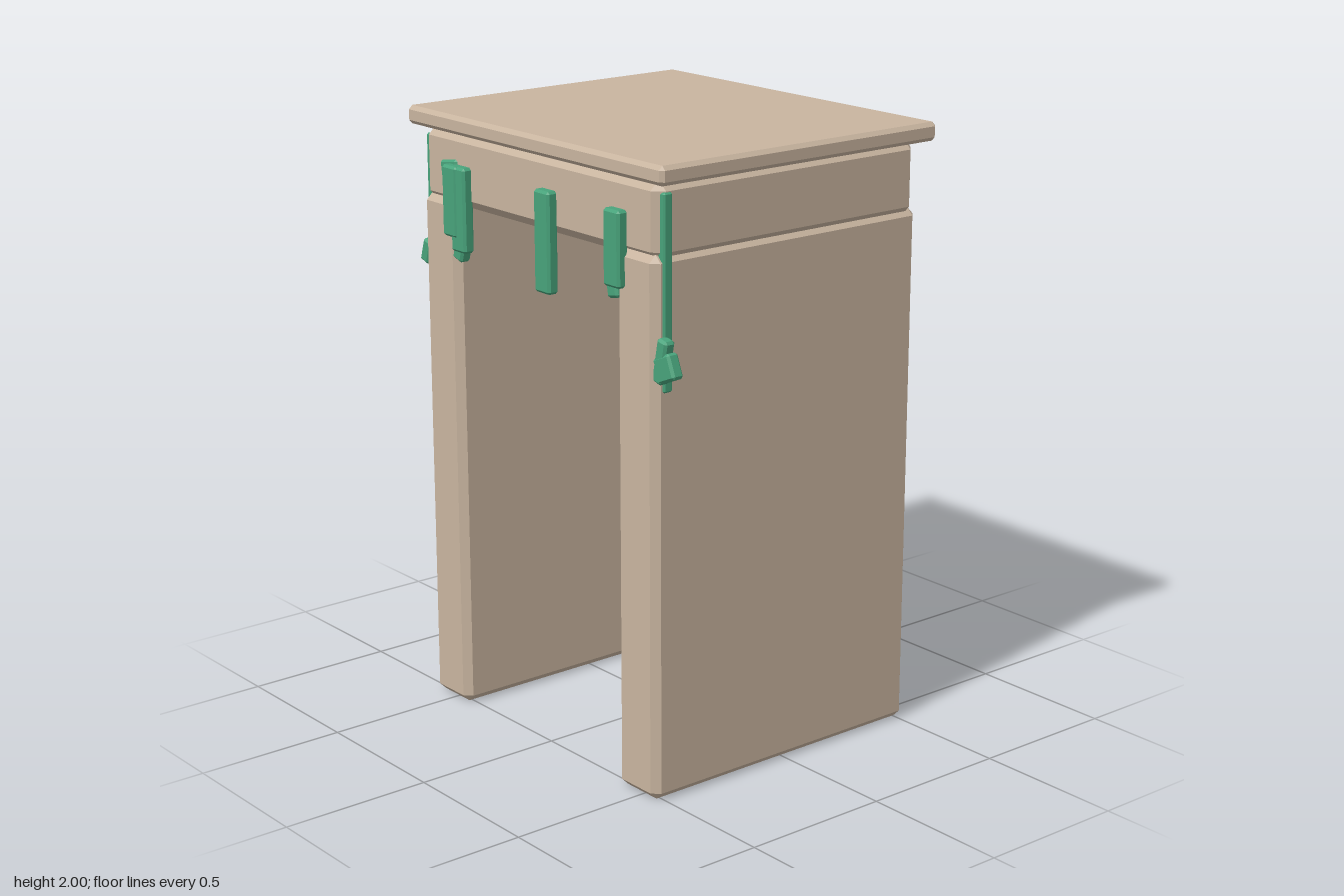
import * as THREE from 'three';
import { ConvexGeometry } from 'three/addons/geometries/ConvexGeometry.js';

const stone = new THREE.MeshStandardMaterial({ color: 0xc8b49f });
stone.name = 'tan stone';
const leaf = new THREE.MeshStandardMaterial({ color: 0x48a37b });
leaf.name = 'vine green';

// Box with chamfered edges, centred on its origin
function chamferBox(w, h, d, c) {
  const half = [w / 2, h / 2, d / 2];
  const points = [];
  for (const sx of [-1, 1]) for (const sy of [-1, 1]) for (const sz of [-1, 1]) {
    for (let axis = 0; axis < 3; axis++) {
      const p = half.map((v, i) => (i === axis ? v : v - c));
      points.push(new THREE.Vector3(sx * p[0], sy * p[1], sz * p[2]));
    }
  }
  return new ConvexGeometry(points);
}

export function createModel() {
  const model = new THREE.Group();
  model.name = 'stoneArch';

  // Adds a block given its extents on each axis, optionally rolled about z
  function block(name, material, [x0, x1], [y0, y1], [z0, z1], chamfer, roll = 0) {
    const mesh = new THREE.Mesh(chamferBox(x1 - x0, y1 - y0, z1 - z0, chamfer), material);
    mesh.name = name;
    mesh.position.set((x0 + x1) / 2, (y0 + y1) / 2, (z0 + z1) / 2);
    mesh.rotation.z = roll;
    model.add(mesh);
  }

  // Stonework
  block('capSlab', stone, [-0.66, 0.63], [1.94, 2], [-0.555, 0.55], 0.013);
  block('lintel', stone, [-0.607, 0.58], [1.70, 1.945], [-0.52, 0.525], 0.032);
  block('rightPier', stone, [-0.605, -0.42], [0, 1.725], [-0.53, 0.535], 0.024);
  block('leftPier', stone, [0.39, 0.578], [0, 1.725], [-0.53, 0.535], 0.024);

  // Hanging vines on the front: centre x, bottom y
  for (const [x, bottom, z] of [[-0.423, 1.61, 0.56], [-0.385, 1.565, 0.555], [0.062, 1.52, 0.56], [0.402, 1.605, 0.56]]) {
    block('frontVine', leaf, [x - 0.038, x + 0.038], [bottom, 1.84], [z - 0.04, z], 0.008);
  }

  // Hanging vines on the back
  for (const [x, bottom] of [[-0.36, 1.58], [-0.036, 1.69], [0.065, 1.62], [0.267, 1.555]]) {
    block('backVine', leaf, [x - 0.038, x + 0.038], [bottom, 1.84], [-0.56, -0.515], 0.008);
  }

  // Long thin vines on the sides near the front corners
  block('leftSideVine', leaf, [0.555, 0.586], [1.31, 1.91], [0.472, 0.505], 0.005);
  block('rightSideVine', leaf, [-0.62, -0.59], [1.335, 1.91], [0.472, 0.505], 0.005);

  // Small leaves: centre x, y, z, width, height, depth, roll
  const leaves = [
    [0.584, 1.41, 0.507, 0.045, 0.14, 0.04, -0.2],
    [0.606, 1.393, 0.507, 0.08, 0.08, 0.042, 0.4],
    [-0.611, 1.525, 0.507, 0.045, 0.08, 0.042, -0.3],
    [-0.46, 1.82, 0.512, 0.09, 0.06, 0.042, 0.15],
    [-0.405, 1.575, 0.52, 0.05, 0.09, 0.04, -0.3],
    [0.378, 1.6, 0.52, 0.05, 0.07, 0.04, 0.2],
  ];
  for (const [x, y, z, w, h, d, roll] of leaves) {
    block('leaf', leaf, [x - w / 2, x + w / 2], [y - h / 2, y + h / 2], [z - d / 2, z + d / 2], 0.008, roll);
  }
  return model;
}
